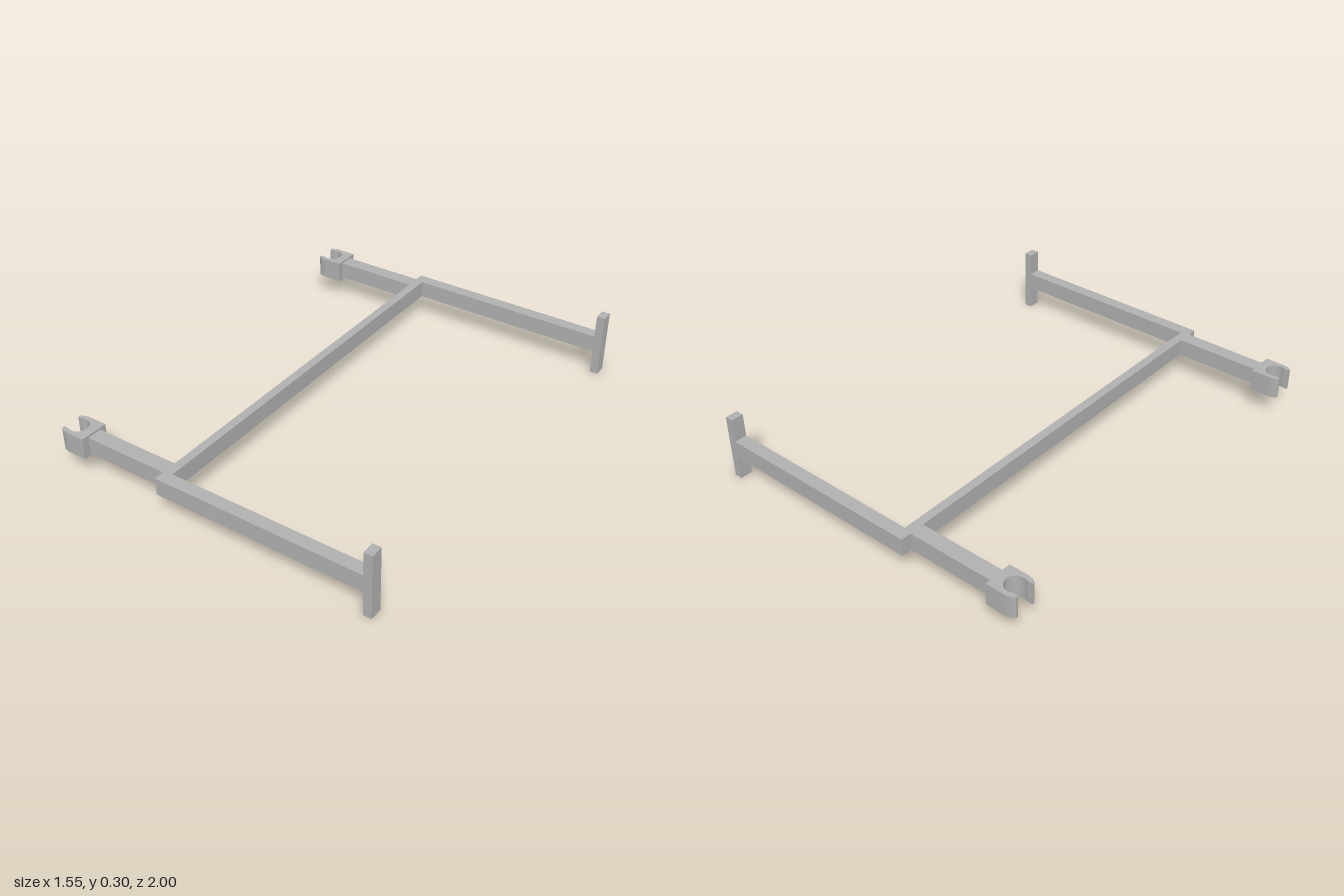
import * as THREE from 'three';

export function createModel() {
  const model = new THREE.Group();
  model.name = 'supportFrame';
  const grey = new THREE.MeshStandardMaterial({ color: 0xb0b0b0 });
  grey.name = 'grey';

  // Box given by its minimum and maximum on each axis
  const box = (name, x0, x1, y0, y1, z0, z1) => {
    const mesh = new THREE.Mesh(new THREE.BoxGeometry(x1 - x0, y1 - y0, z1 - z0), grey);
    mesh.position.set((x0 + x1) / 2, (y0 + y1) / 2, (z0 + z1) / 2);
    mesh.name = name;
    model.add(mesh);
  };

  // Open C-shaped clip outline, seen from above, with its mouth toward -x
  const clipShape = new THREE.Shape();
  const mouth = THREE.MathUtils.degToRad(115);
  clipShape.moveTo(-0.645, -0.066);
  clipShape.lineTo(-0.645, 0.066);
  clipShape.lineTo(-0.735, 0.066);
  clipShape.quadraticCurveTo(-0.763, 0.064, -0.775, 0.052);
  clipShape.lineTo(-0.775, 0.04);
  clipShape.absarc(-0.73, 0, 0.045, mouth, -mouth, true);
  clipShape.lineTo(-0.775, -0.04);
  clipShape.lineTo(-0.775, -0.052);
  clipShape.quadraticCurveTo(-0.763, -0.064, -0.735, -0.066);
  clipShape.closePath();
  const clipGeometry = new THREE.ExtrudeGeometry(clipShape, {
    depth: 0.1, bevelEnabled: false, curveSegments: 24,
  });
  clipGeometry.rotateX(Math.PI / 2);

  // Long bar joining the two sides
  box('crossbar', -0.24, -0.2, 0.112, 0.192, -0.942, 0.942);

  for (const side of [1, -1]) {
    const part = (name, x0, x1, y0, y1, z0, z1) =>
      box(name, x0, x1, y0, y1, Math.min(side * z0, side * z1), Math.max(side * z0, side * z1));
    part('sideRail', -0.24, 0.735, 0.112, 0.192, 0.942, 1);
    part('endPost', 0.735, 0.773, 0, 0.3, 0.942, 1);
    part('clipArm', -0.645, -0.24, 0.112, 0.192, 0.884, 0.953);

    const clip = new THREE.Mesh(clipGeometry, grey);
    clip.position.set(0, 0.202, side * 0.919);
    clip.name = 'clip';
    model.add(clip);
  }
  return model;
}
